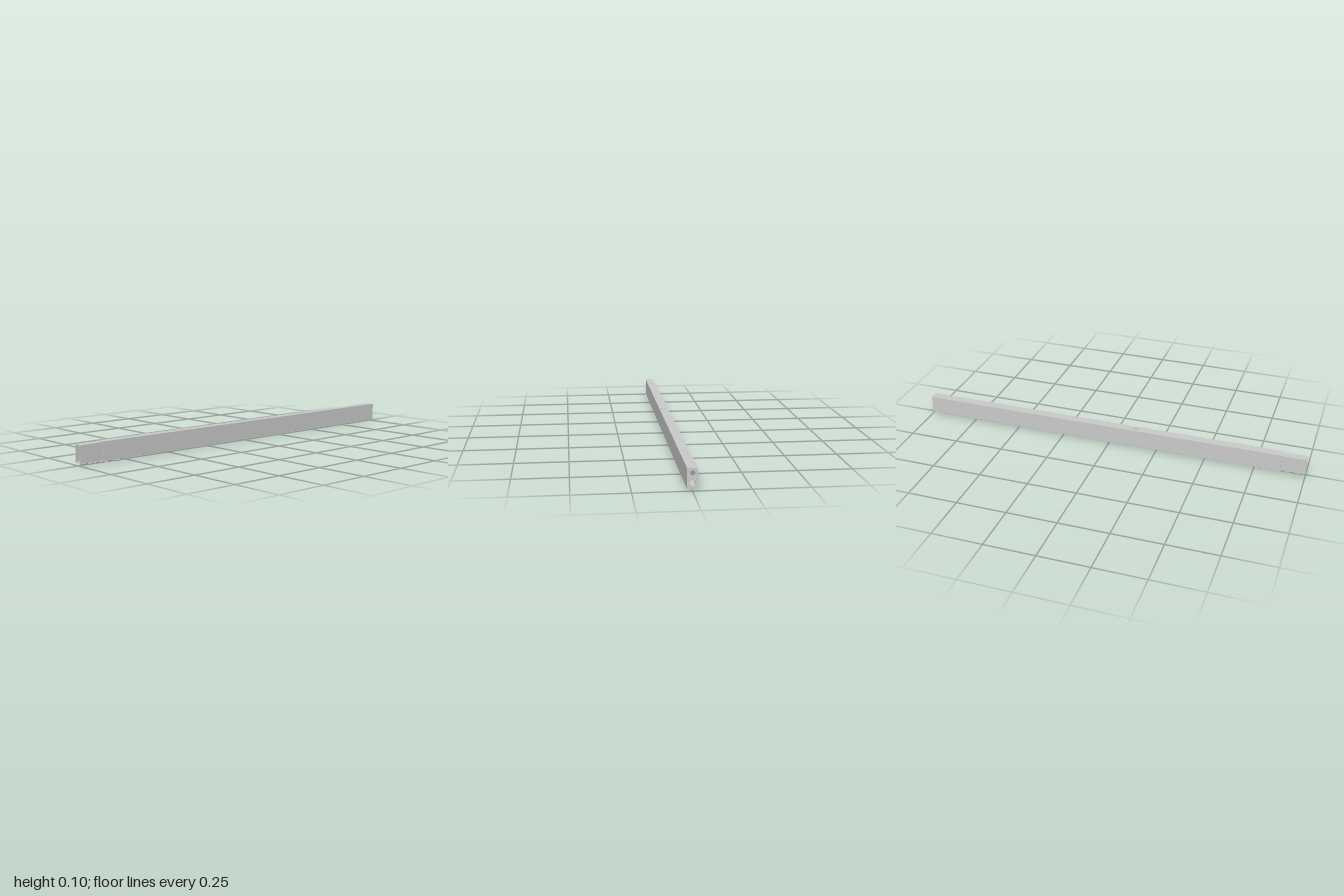
import * as THREE from 'three';

const mat = new THREE.MeshStandardMaterial({ color: 0xcccccc });

function add(parent, name, geo, x = 0, y = 0, z = 0) {
  const mesh = new THREE.Mesh(geo, mat);
  mesh.name = name;
  mesh.position.set(x, y, z);
  parent.add(mesh);
  return mesh;
}

// Rectangle shape with round holes given as [x, y, radius]
function rectShape(x0, x1, y0, y1, holes = []) {
  const s = new THREE.Shape([
    new THREE.Vector2(x0, y0), new THREE.Vector2(x1, y0),
    new THREE.Vector2(x1, y1), new THREE.Vector2(x0, y1),
  ]);
  for (const [x, y, r] of holes) s.holes.push(new THREE.Path().absarc(x, y, r, 0, Math.PI * 2, true));
  return s;
}

const extrude = (shape, depth) =>
  new THREE.ExtrudeGeometry(shape, { depth, bevelEnabled: false, curveSegments: 24 });

// Horizontal slab: shape y becomes z, top face at y = 0
const slab = (shape, depth) => extrude(shape, depth).rotateX(Math.PI / 2);

// Hollow rectangular section running along z
function boxTube(name, half, y0, y1, z0, z1, wall, topHoles, bottomHoles) {
  const g = new THREE.Group();
  g.name = name;
  const inner = half - wall;
  for (const s of [-1, 1]) {
    add(g, s > 0 ? 'leftWall' : 'rightWall', new THREE.BoxGeometry(wall, y1 - y0, z1 - z0),
      s * (half - wall / 2), (y0 + y1) / 2, (z0 + z1) / 2);
  }
  add(g, 'topWall', slab(rectShape(-inner, inner, z0, z1, topHoles), wall), 0, y1, 0);
  add(g, 'bottomWall', slab(rectShape(-inner, inner, z0, z1, bottomHoles), wall), 0, y0 + wall, 0);
  return g;
}

// Threaded insert: hexagonal body above a round chamfered flange
function insert(z, seat) {
  const g = new THREE.Group();
  g.name = 'threadedInsert';
  const bore = 0.009, flange = 0.009;
  const hex = new THREE.Shape();
  for (let i = 0; i < 6; i++) {
    const a = (i * Math.PI) / 3;
    hex[i ? 'lineTo' : 'moveTo'](0.015 * Math.cos(a), 0.015 * Math.sin(a));
  }
  hex.closePath();
  hex.holes.push(new THREE.Path().absarc(0, 0, bore, 0, Math.PI * 2, true));
  add(g, 'hexBody', slab(hex, 0.048 - seat), 0, 0.048, z);
  const profile = [[bore, flange], [bore, 0], [0.0155, 0], [0.017, 0.002], [0.017, flange], [bore, flange]];
  // Each profile segment is its own lathe so the edges stay sharp
  for (let i = 0; i < profile.length - 1; i++) {
    const pts = [profile[i], profile[i + 1]].map(([r, y]) => new THREE.Vector2(r, y));
    add(g, 'flange', new THREE.LatheGeometry(pts, 32), 0, seat - flange, z);
  }
  return g;
}

export function createModel() {
  const model = new THREE.Group();
  model.name = 'beam';
  const insertZ = [0.97, 0.91, 0.85, 0.79];
  const step = 0.88;
  const crossHole = [0, 0.14, 0.012];
  const boltHole = (z) => [0, z, 0.0125];

  // Main beam with a vertical through hole
  model.add(boxTube('mainTube', 0.0225, 0.009, 0.098, -0.99, step, 0.003,
    [crossHole], [crossHole, ...insertZ.slice(2).map(boltHole)]));

  // Inner sleeve that projects from the front
  model.add(boxTube('innerSleeve', 0.0192, 0.0125, 0.0948, 0.74, 1, 0.003,
    [], insertZ.map(boltHole)));

  // Rear end plate with two holes
  const plate = rectShape(-0.0225, 0.0225, 0.009, 0.098, [[0, 0.076, 0.012], [0, 0.034, 0.012]]);
  add(model, 'endPlate', extrude(plate, 0.01), 0, 0, -1);

  // Row of inserts along the underside
  for (const z of insertZ) model.add(insert(z, z > step ? 0.0125 : 0.009));

  return model;
}
